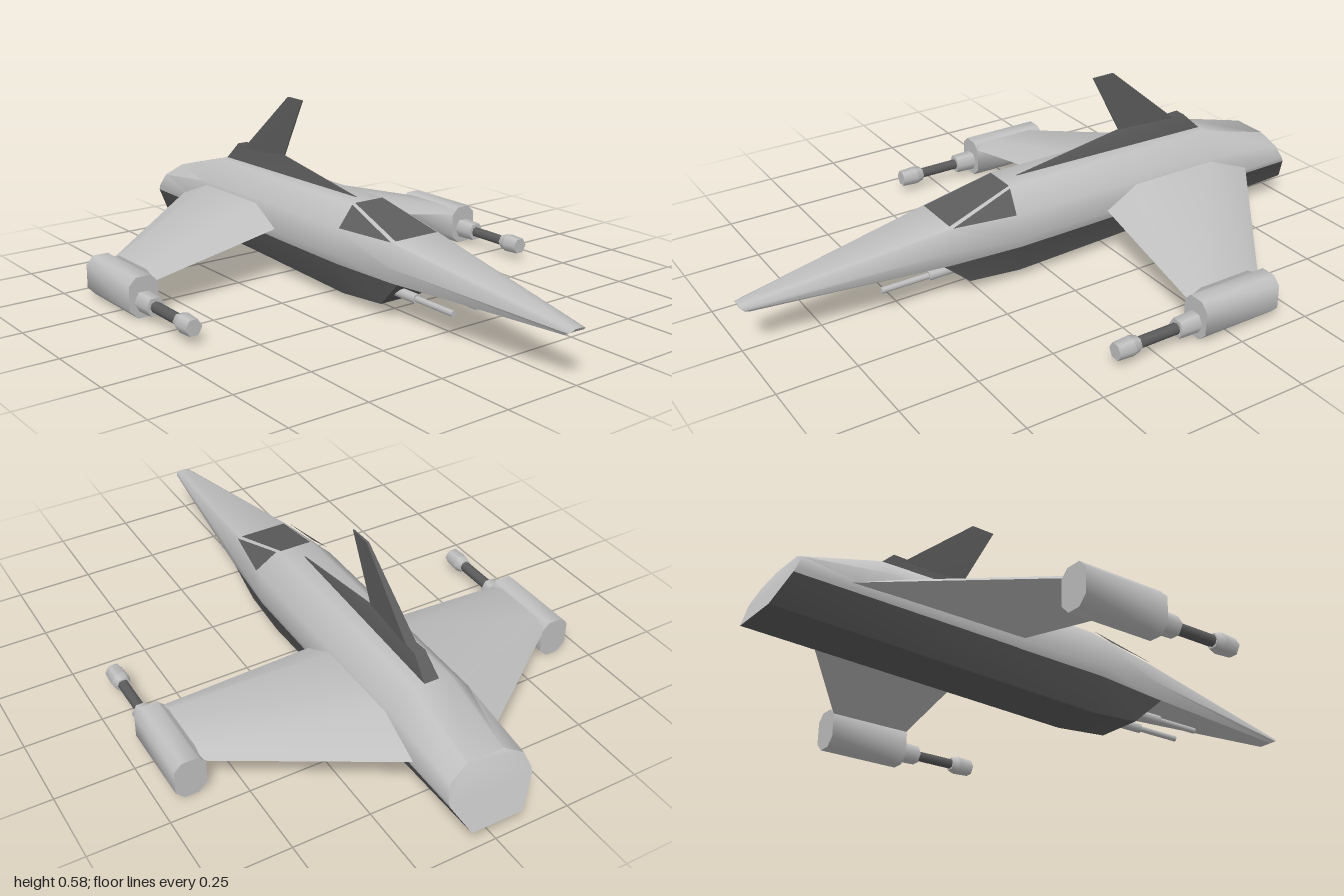
import * as THREE from 'three';
import { toCreasedNormals } from 'three/addons/utils/BufferGeometryUtils.js';

const light = new THREE.MeshStandardMaterial({ color: 0xc0c0c0 });
light.name = 'light grey';
const dark = new THREE.MeshStandardMaterial({ color: 0x5c5c5c });
dark.name = 'dark grey';

function meshFrom(name, triangles, material, crease = 0.9) {
  const g = new THREE.BufferGeometry();
  g.setAttribute('position', new THREE.Float32BufferAttribute(triangles.flat(), 3));
  const mesh = new THREE.Mesh(toCreasedNormals(g, crease), material);
  mesh.name = name;
  return mesh;
}

const fan = (p) => p.slice(2).flatMap((c, i) => [p[0], p[i + 1], c]);

// Skin between rings of [x, y, z]; rings run anticlockwise about the loft direction
function loft(name, rings, material, startCap = true) {
  const t = [];
  for (let r = 0; r + 1 < rings.length; r++) {
    const a = rings[r], b = rings[r + 1];
    a.forEach((p, i) => {
      const j = (i + 1) % a.length;
      t.push(p, a[j], b[j], p, b[j], b[i]);
    });
  }
  if (startCap) t.push(...fan([...rings[0]].reverse()));
  t.push(...fan(rings[rings.length - 1]));
  return meshFrom(name, t, material);
}

// Completes a half ring (top to bottom, z > 0) with its mirror image
const both = (half) => [...half, ...half.map(([x, y, z]) => [x, y, -z]).reverse()];
const station = (x, half) => both(half.map(([y, z]) => [x, y, z]));

function rod(name, x0, x1, r0, r1, y, z, material, sides = 6) {
  const g = new THREE.CylinderGeometry(r1, r0, x1 - x0, sides);
  g.rotateZ(-Math.PI / 2);
  const mesh = new THREE.Mesh(g, material);
  mesh.position.set((x0 + x1) / 2, y, z);
  mesh.name = name;
  return mesh;
}

export function createModel() {
  const model = new THREE.Group();
  model.name = 'fighter craft';

  // Hull, from slanted tail to nose tip
  const tail = both([[-0.92, 0.245, 0.06], [-0.935, 0.212, 0.122], [-0.955, 0.168, 0.138], [-0.962, 0.152, 0.136]]);
  model.add(loft('hull', [
    tail,
    station(-0.66, [[0.315, 0.06], [0.245, 0.13], [0.165, 0.14], [0.146, 0.132]]),
    station(0.12, [[0.315, 0.06], [0.25, 0.13], [0.165, 0.136], [0.135, 0.126]]),
    station(0.35, [[0.251, 0.088], [0.247, 0.092], [0.18, 0.113], [0.13, 0.102]]),
    both([[1, 0.161, 0.015], [1, 0.157, 0.024], [0.99, 0.148, 0.029], [0.97, 0.138, 0.024]]),
  ], light));

  // Dark belly, open at the tail where a light plate closes it
  const bellyTail = both([[-0.962, 0.152, 0.136], [-1, 0.065, 0.085]]);
  model.add(loft('belly', [
    bellyTail,
    both([[0.1, 0.136, 0.126], [0.1, 0.026, 0.085]]),
    both([[0.38, 0.131, 0.098], [0.28, 0.04, 0.08]]),
  ], dark, false));
  model.add(meshFrom('tailPlate', fan([...bellyTail].reverse()), light));

  // Canopy panes, raised a little above the hull
  const lift = 0.003;
  model.add(meshFrom('windscreen', fan([
    [0.12, 0.315 + lift, 0.054], [0.348, 0.251 + lift, 0.081],
    [0.348, 0.251 + lift, -0.081], [0.12, 0.315 + lift, -0.054],
  ]), dark));
  for (const s of [1, -1]) {
    const pane = [[0.125, 0.313, 0.066], [0.142, 0.253, 0.131], [0.345, 0.25, 0.094]]
      .map(([x, y, z]) => [x, y + lift, s * (z + lift)]);
    model.add(meshFrom('sideWindow', s > 0 ? pane : pane.reverse(), dark));
  }

  // Dorsal spine and swept fin
  const blade = (y, back, front, w) => [[back, y, w], [front, y, 0.002], [front, y, -0.002], [back, y, -w]];
  model.add(loft('spine', [blade(0.31, -0.665, 0.09, 0.025), blade(0.376, -0.595, -0.33, 0.018)], dark));
  model.add(loft('fin', [blade(0.37, -0.555, -0.34, 0.017), blade(0.58, -0.31, -0.23, 0.004)], dark));

  for (const s of [1, -1]) {
    // Wing, drooping from root to tip
    const section = (z, back, rear, fore, front, low, high) => {
      const ring = [[front, low, s * z], [fore, high, s * z], [rear, high, s * z], [back, low, s * z]];
      return s > 0 ? ring : ring.reverse();
    };
    model.add(loft('wing', [
      section(0.11, -0.806, -0.64, -0.325, -0.204, 0.178, 0.24),
      section(0.61, -0.425, -0.38, -0.2, -0.15, 0.108, 0.13),
    ], light));

    // Wingtip pod with its cannon
    const pod = new THREE.Group();
    pod.name = 'wingtipPod';
    pod.position.z = s * 0.65;
    const octagon = [[0.13, 0.025], [0.105, 0.05], [0.028, 0.05], [0, 0.022]];
    pod.add(loft('podBody', [station(-0.43, octagon), station(-0.15, octagon)], light));
    pod.add(rod('cannonBase', -0.16, -0.08, 0.035, 0.032, 0.052, 0, light));
    pod.add(rod('cannonBarrel', -0.09, 0.07, 0.018, 0.018, 0.052, 0, dark, 8));
    pod.add(rod('cannonMuzzle', 0.06, 0.085, 0.024, 0.031, 0.052, 0, light));
    pod.add(rod('cannonMuzzleTip', 0.085, 0.14, 0.031, 0.028, 0.052, 0, light));
    model.add(pod);

    // Chin gun
    model.add(rod('chinGunSleeve', 0.28, 0.41, 0.016, 0.016, 0.085, s * 0.047, light, 8));
    model.add(rod('chinGunBarrel', 0.4, 0.57, 0.01, 0.01, 0.085, s * 0.047, light, 8));
  }
  return model;
}
